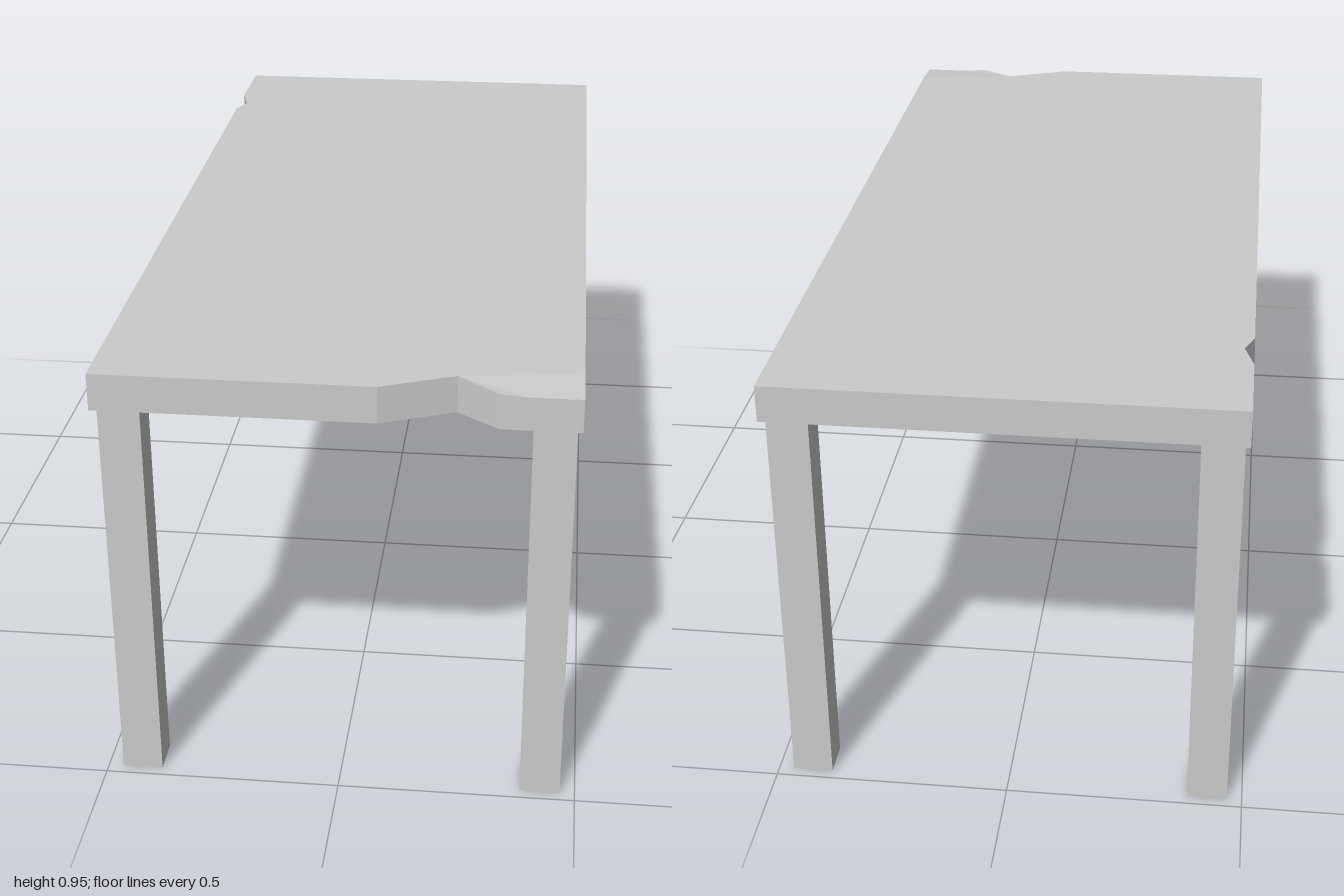
import * as THREE from 'three';

const TOP = 0.948, UNDER = 0.87;

export function createModel() {
  const group = new THREE.Group();
  const material = new THREE.MeshStandardMaterial({ color: 0xcccccc, flatShading: true });

  // Tabletop outline in (x, z), with a chipped front edge and a small nick on one side
  const outline = [
    [-0.478, -1], [0.478, -1], [0.478, 0.9], [0.478, 1], [0.37, 1], [0.318, 1],
    [0.235, 0.937], [0.085, 1], [-0.478, 1],
    [-0.478, -0.685], [-0.458, -0.735], [-0.478, -0.805],
  ].map(([x, z]) => new THREE.Vector2(x, z));
  const slab = new THREE.ExtrudeGeometry(new THREE.Shape(outline), {
    depth: TOP - UNDER, bevelEnabled: false,
  });
  slab.rotateX(Math.PI / 2).translate(0, TOP, 0);

  // The upper face is slightly worn down at the front corner
  const p = slab.attributes.position;
  for (let i = 0; i < p.count; i++) {
    if (p.getY(i) > 0.94 && p.getZ(i) > 0.95 && p.getX(i) > 0.3) {
      p.setY(i, p.getX(i) > 0.35 ? 0.94 : 0.944);
    }
  }
  slab.computeVertexNormals();
  const tabletop = new THREE.Mesh(slab, material);
  tabletop.name = 'tabletop';
  group.add(tabletop);

  // Four square legs
  const legGeometry = new THREE.BoxGeometry(0.085, UNDER, 0.076);
  for (const [sx, side] of [[1, 'Left'], [-1, 'Right']]) {
    for (const [sz, end] of [[1, 'front'], [-1, 'back']]) {
      const leg = new THREE.Mesh(legGeometry, material);
      leg.name = `${end}${side}Leg`;
      leg.position.set(sx * 0.426, UNDER / 2, sz * 0.938);
      group.add(leg);
    }
  }
  return group;
}
